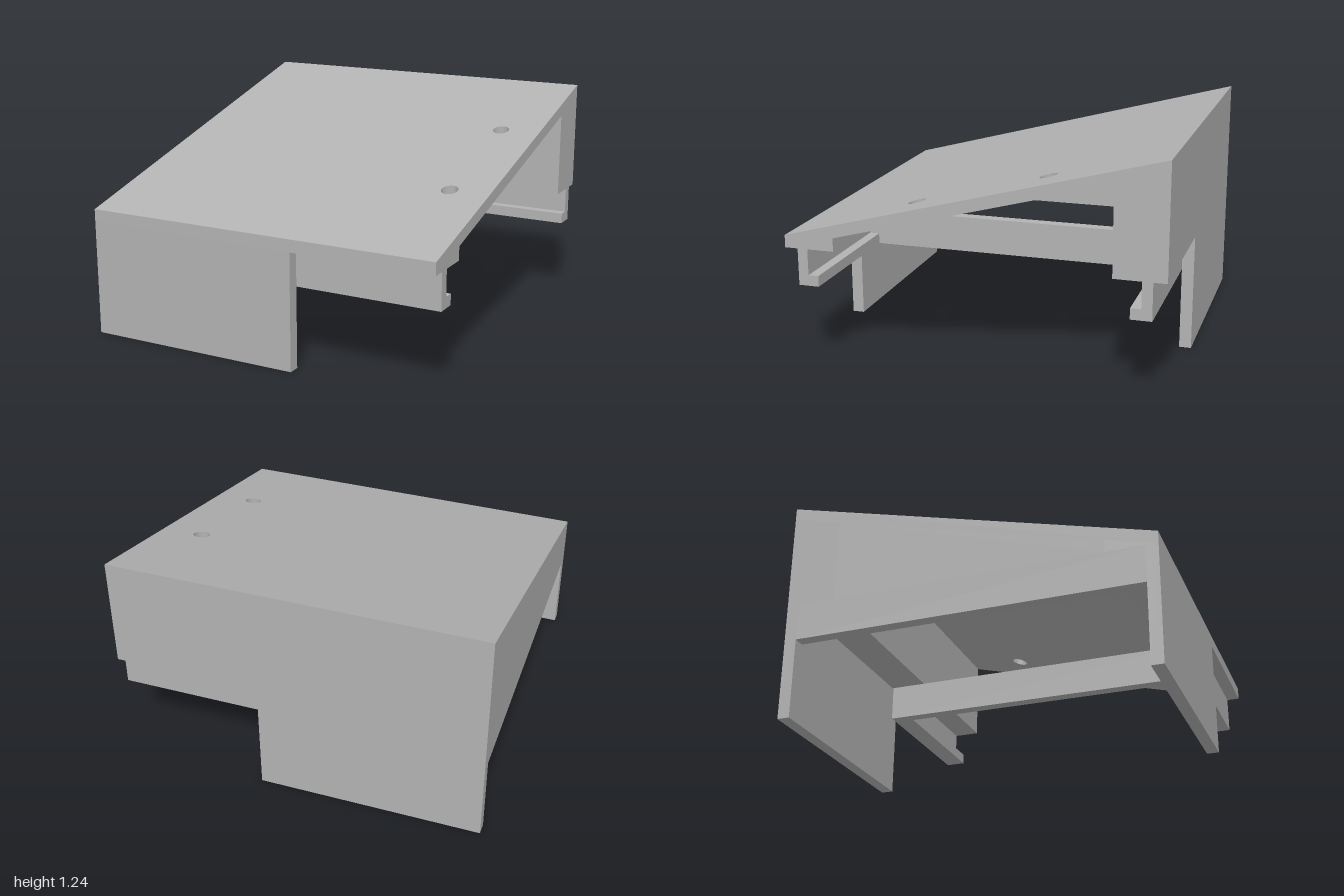
import * as THREE from 'three';
import { toCreasedNormals } from 'three/addons/utils/BufferGeometryUtils.js';

const SLOPE = 0.2675;      // roof rise per unit towards the back
const BASE = 0.633;        // underside of the wedge
const SKIRT = 0.435;       // underside of rails and side skirt
const ROOF = 0.067;        // vertical roof thickness
const INNER = 0.935;       // inner face of the thin walls
const POCKET = 0.73;       // half depth of the hollow
const ceiling = z => BASE + SLOPE * (1 - z);

export function createModel() {
  const group = new THREE.Group();
  const grey = new THREE.MeshStandardMaterial({ color: 0xb2b2b2 });
  grey.name = 'plain grey';

  const add = (name, geometry) => {
    const mesh = new THREE.Mesh(geometry, grey);
    mesh.name = name;
    group.add(mesh);
    return mesh;
  };

  const box = (name, x0, x1, y0, y1, z0, z1) =>
    add(name, new THREE.BoxGeometry(x1 - x0, y1 - y0, z1 - z0))
      .position.set((x0 + x1) / 2, (y0 + y1) / 2, (z0 + z1) / 2);

  // Extrudes a [z, y] outline along x
  const prism = (name, points, x0, x1) => {
    const shape = new THREE.Shape(points.map(([z, y]) => new THREE.Vector2(-z, y)));
    const geometry = new THREE.ExtrudeGeometry(shape, { depth: x1 - x0, bevelEnabled: false });
    geometry.rotateY(Math.PI / 2).translate(x0, 0, 0);
    add(name, geometry);
  };

  // Sloping roof with two vertical round holes: a flat plate sheared upwards
  const plate = new THREE.Shape([[-1, -1], [1, -1], [1, 1], [-1, 1]].map(p => new THREE.Vector2(...p)));
  for (const z of [-0.35, 0.35]) {
    plate.holes.push(new THREE.Path().absarc(0.78, z, 0.045, 0, Math.PI * 2, true));
  }
  const roof = new THREE.ExtrudeGeometry(plate, { depth: ROOF, bevelEnabled: false, curveSegments: 32 });
  roof.rotateX(-Math.PI / 2);
  const pos = roof.attributes.position;
  for (let i = 0; i < pos.count; i++) pos.setY(i, pos.getY(i) + ceiling(pos.getZ(i)));
  add('roof', toCreasedNormals(roof, 0.5));

  // Solid blocks around the hollow
  prism('frontBlock', [[1, BASE], [POCKET, BASE], [POCKET, ceiling(POCKET)]], -1, 1);
  prism('backBlock', [[-POCKET, BASE], [-1, BASE], [-1, ceiling(-1)], [-POCKET, ceiling(-POCKET)]], -1, 1);
  prism('endWall', [[POCKET, BASE], [-POCKET, BASE], [-POCKET, ceiling(-POCKET)], [POCKET, ceiling(POCKET)]], -1, -INNER);

  // Skirt below the end wall
  box('endSkirt', -1, -INNER, SKIRT, BASE, -INNER, INNER);

  // Front and back legs, and the lipped rails beside them
  for (const s of [1, -1]) {
    const side = s > 0 ? 'front' : 'back';
    box(side + 'Leg', -1, 0.21, 0, BASE, s > 0 ? INNER : -1, s > 0 ? 1 : -INNER);
    prism(side + 'Rail', [[0.93, SKIRT], [0.82, SKIRT], [0.82, 0.493], [0.875, 0.493], [0.875, BASE], [0.93, BASE]]
      .map(([z, y]) => [s * z, y]), 0.21, 1);
  }

  // Bar joining the two rails
  box('crossBar', 0.147, 0.21, SKIRT, BASE, -0.93, 0.93);

  return group;
}
